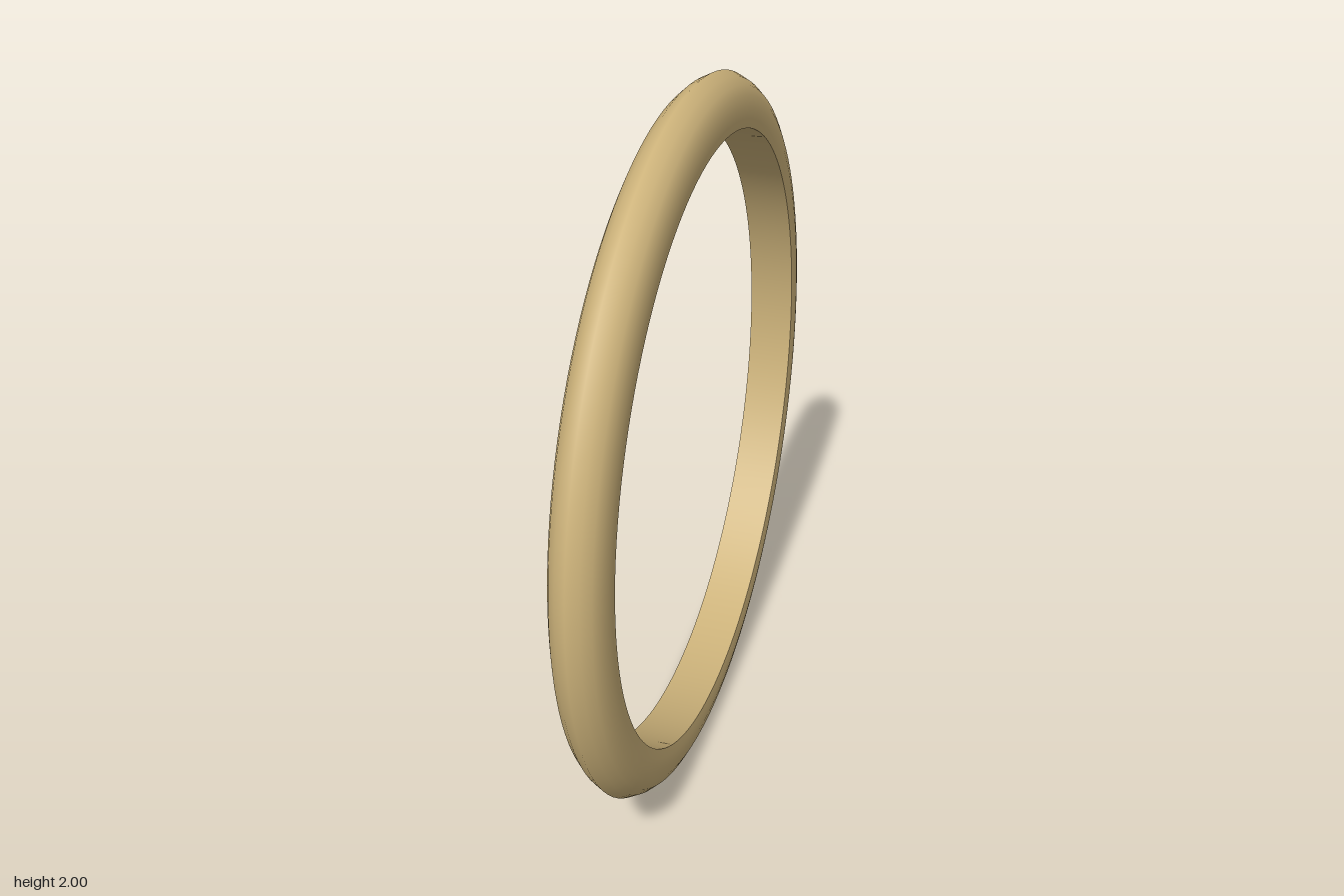
import * as THREE from 'three';

export function createModel() {
  const group = new THREE.Group();
  group.name = 'ring';
  const material = new THREE.MeshStandardMaterial({ color: 0xccb27a });

  // The band stands upright with its axis along x
  const band = new THREE.Group();
  band.name = 'band';
  const addLathe = (name, profile) => {
    const points = profile.map(([r, h]) => new THREE.Vector2(r, h));
    const geometry = new THREE.LatheGeometry(points, 128);
    geometry.rotateZ(-Math.PI / 2);
    const mesh = new THREE.Mesh(geometry, material);
    mesh.name = name;
    band.add(mesh);
  };

  // Domed outside with a soft central ridge, mirrored about the middle
  const half = [[0.855, 0.067], [0.88, 0.07], [0.91, 0.07], [0.94, 0.064], [0.965, 0.052], [0.985, 0.03]];
  const mirrored = half.map(([r, h]) => [r, -h]);
  addLathe('outerSurface', [...mirrored, [1, 0], ...half.slice().reverse()]);

  // Straight inside wall, separate so that its edges stay sharp
  addLathe('innerWall', [[0.855, 0.067], [0.855, -0.067]]);

  // The ring is turned very slightly about the vertical
  band.rotation.y = 0.0125;
  band.position.y = 1;
  group.add(band);
  return group;
}
